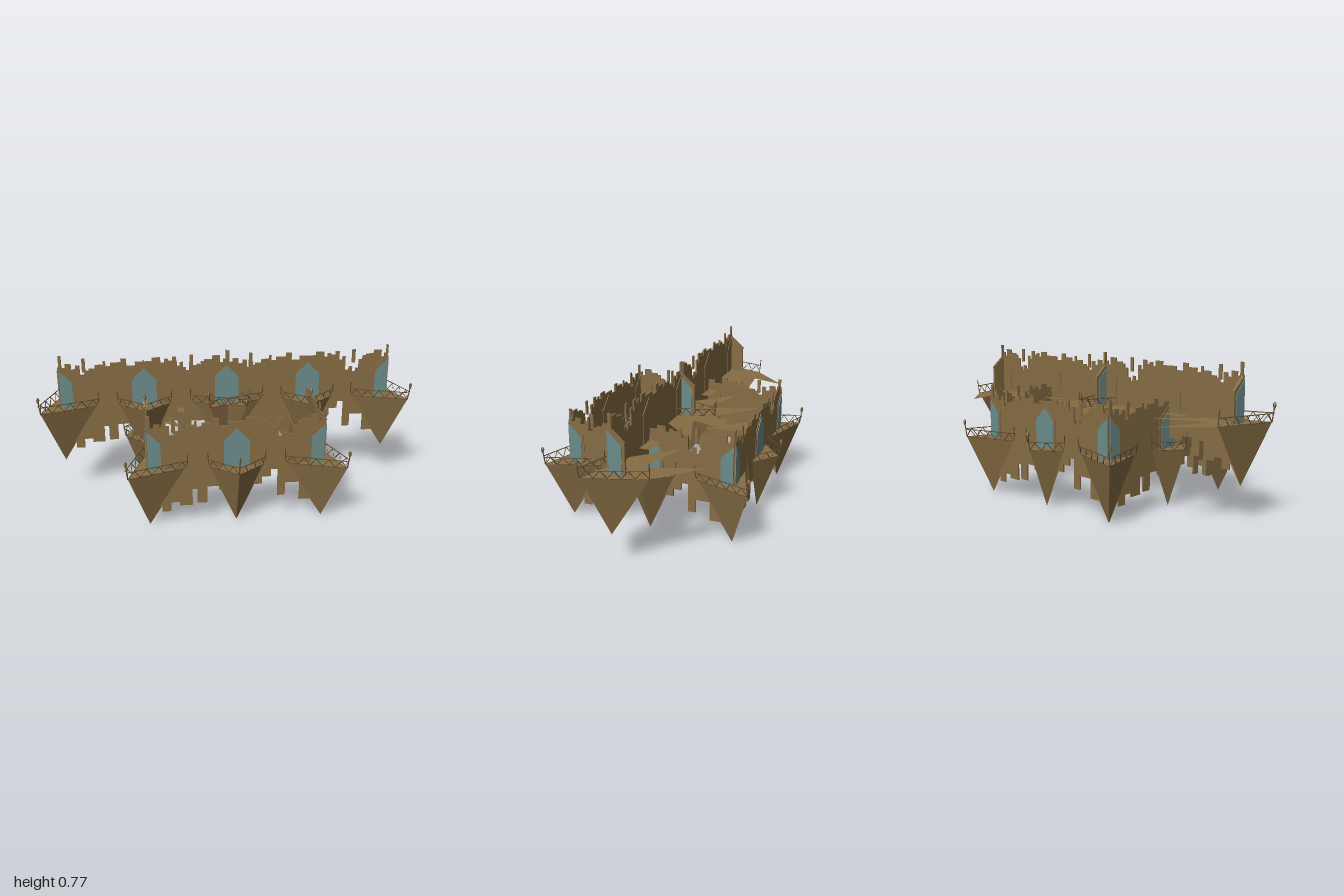
import * as THREE from 'three';

const mat = (color) => new THREE.MeshStandardMaterial({ color, flatShading: true, side: THREE.DoubleSide });
const stone = mat(0x866c44), glass = mat(0x6a8c8a), iron = mat(0x5c4a2c);
const FLOOR = 0.31, HALF = 0.445, T = 0.008;

const V = (x, y, z) => new THREE.Vector3(x, y, z);

function add(parent, name, geo, material) {
  const m = new THREE.Mesh(geo, material);
  m.name = name;
  parent.add(m);
  return m;
}

// Upright slab in the xy plane, centred on z
function slab(points, depth, z = 0) {
  const shape = new THREE.Shape(points.map(([x, y]) => new THREE.Vector2(x, y)));
  const geo = new THREE.ExtrudeGeometry(shape, { depth, bevelEnabled: false });
  return geo.translate(0, 0, z - depth / 2);
}

// Thin bar between two points
function strut(parent, name, a, b, r = 0.0025) {
  const dir = b.clone().sub(a);
  const bar = add(parent, name, new THREE.CylinderGeometry(r, r, dir.length(), 5), iron);
  bar.position.copy(a).lerp(b, 0.5);
  bar.quaternion.setFromUnitVectors(V(0, 1, 0), dir.normalize());
}

// Ruined wall: columns of [start, bottom, top], each with a small merlon
const columns = [
  [-0.445, 0.1, 0.53], [-0.38, 0.07, 0.52], [-0.335, 0.12, 0.49], [-0.29, 0.1, 0.52],
  [-0.225, 0.19, 0.54], [-0.2, 0.11, 0.53], [-0.15, 0.2, 0.55], [-0.09, 0.18, 0.53],
  [0, 0.2, 0.55], [0.09, 0.2, 0.54], [0.13, 0.24, 0.55], [0.175, 0.28, 0.52],
  [0.21, 0.13, 0.46], [0.25, 0.2, 0.45], [0.285, 0.2, 0.52], [0.325, 0.1, 0.55],
  [0.41, 0.1, 0.53]
];

function wall() {
  const g = new THREE.Group();
  g.name = 'wallSection';
  const top = [], bottom = [];
  columns.forEach(([x, b, t], i) => {
    const end = i + 1 < columns.length ? columns[i + 1][0] : HALF;
    const mid = (x + end) / 2;
    top.push([x, t], [mid, t], [mid, t + 0.02], [end, t + 0.02]);
    bottom.push([x, b], [end, b]);
  });
  add(g, 'ruinedWall', slab([...bottom, ...top.reverse()], T), stone);
  // Loose merlons hovering over the wall
  for (const x of [-0.315, 0.255])
    add(g, 'looseMerlon', new THREE.BoxGeometry(0.018, 0.075, T), stone).position.set(x, 0.54, 0);
  g.add(balcony());
  return g;
}

// Pointed window; half windows begin at x = 0
function arch(parent, half) {
  const outline = (w, eave, apex) => half
    ? [[0, FLOOR], [w, FLOOR], [w, eave], [0, apex]]
    : [[-w, FLOOR], [w, FLOOR], [w, eave], [0, apex], [-w, eave]];
  const g = new THREE.Group();
  g.name = half ? 'cornerWindow' : 'window';
  add(g, 'windowFrame', slab(outline(0.08, 0.465, 0.535), 0.014), stone);
  add(g, 'windowGlass', slab(outline(0.065, 0.45, 0.515), 0.004, 0.008), glass);
  parent.add(g);
  return g;
}

// Flat floor from [x, z] points
function deck(parent, points) {
  const shape = new THREE.Shape(points.map(([x, z]) => new THREE.Vector2(x, -z)));
  add(parent, 'balconyFloor', new THREE.ShapeGeometry(shape).rotateX(-Math.PI / 2), stone).position.y = FLOOR;
}

// Two faces narrowing from the balcony edge to a point below
function spike(parent, a, tip, b) {
  const geo = new THREE.BufferGeometry();
  const pos = [[a, tip], [tip, b]].flatMap(([p, q]) =>
    [p[0], FLOOR, p[1], 0, 0, 0, q[0], FLOOR, q[1]]);
  geo.setAttribute('position', new THREE.Float32BufferAttribute(pos, 3));
  geo.computeVertexNormals();
  add(parent, 'hangingSpike', geo, stone);
}

// Trussed railing leaning outward
function railing(parent, p, q, bays) {
  const a = V(p[0], FLOOR, p[1]), b = V(q[0], FLOOR, q[1]);
  const out = V(b.z - a.z, 0, a.x - b.x).normalize();
  if (out.dot(a.clone().add(b).setY(0)) < 0) out.negate();
  const lift = out.multiplyScalar(0.012).setY(0.043);
  const at = (t, up) => {
    const v = a.clone().lerp(b, t);
    return up ? v.add(lift) : v;
  };
  strut(parent, 'topRail', at(0, true), at(1, true));
  strut(parent, 'bottomRail', at(0), at(1), 0.002);
  for (let i = 0; i < bays; i++) {
    strut(parent, 'railTruss', at(i / bays), at((i + 0.5) / bays, true), 0.002);
    strut(parent, 'railTruss', at((i + 0.5) / bays, true), at((i + 1) / bays), 0.002);
  }
  strut(parent, 'railPost', at(1), at(1, true).setY(0.39));
}

// Lantern on a leaning pole at the balcony tip
function lantern(parent, [x, z]) {
  const lean = V(x, 0, z).normalize().multiplyScalar(0.01);
  const head = V(x, 0.385, z).add(lean);
  strut(parent, 'lanternPole', V(x, FLOOR, z), head, 0.003);
  add(parent, 'lantern', new THREE.CylinderGeometry(0.009, 0.005, 0.018, 6), stone).position.copy(head);
  add(parent, 'lanternCap', new THREE.ConeGeometry(0.01, 0.016, 6), iron).position.copy(head).add(V(0, 0.017, 0));
}

function edge(g, a, tip, b, bays) {
  spike(g, a, tip, b);
  railing(g, tip, a, bays);
  railing(g, tip, b, bays);
  lantern(g, tip);
}

// Mid-wall balcony facing +z
function balcony() {
  const g = new THREE.Group();
  g.name = 'balcony';
  const a = [-0.14, 0], tip = [0, 0.112], b = [0.14, 0];
  deck(g, [a, tip, b, [0.13, 0], [0.13, -0.063], [-0.13, -0.063], [-0.13, 0]]);
  edge(g, a, tip, b, 3);
  arch(g, false);
  return g;
}

// Corner balcony with chevron floor; walls leave along +x and -z
function corner() {
  const g = new THREE.Group();
  g.name = 'cornerBalcony';
  const a = [0, -0.195], tip = [-0.1, 0.1], b = [0.195, 0];
  deck(g, [tip, b, [0.385, -0.2], [0.11, -0.11], [0.2, -0.385], a]);
  edge(g, a, tip, b, 5);
  arch(g, true);
  const side = arch(g, true);
  side.rotation.y = Math.PI / 2;
  side.children[1].position.z = -0.016;
  add(g, 'cornerPinnacle', new THREE.BoxGeometry(0.016, 0.09, T), stone).position.set(0.008, 0.55, 0);
  return g;
}

export function createModel() {
  const root = new THREE.Group();
  root.name = 'floatingCastleWalls';
  const place = (part, x, y, z, turn) => {
    part.position.set(x, y, z);
    part.rotation.y = turn * Math.PI / 2;
    root.add(part);
  };

  // Lower square ring
  const spots = [[-1, 1], [1, 1], [1, -1], [-1, -1]];
  spots.forEach(([x, z], k) => {
    place(corner(), x * HALF, 0, z * HALF, k);
    const turn = k * Math.PI / 2;
    place(wall(), Math.sin(turn) * HALF, 0, Math.cos(turn) * HALF, k);
  });

  // Upper straight wall of two sections, crossing the ring
  for (const s of [-1, 1]) {
    place(wall(), s * HALF, 0.18, 0, 0);
    place(corner(), s * HALF * 2, 0.18, 0, s < 0 ? 0 : 1);
    place(corner(), 0, 0.18, 0, s < 0 ? 1 : 0);
  }
  return root;
}
